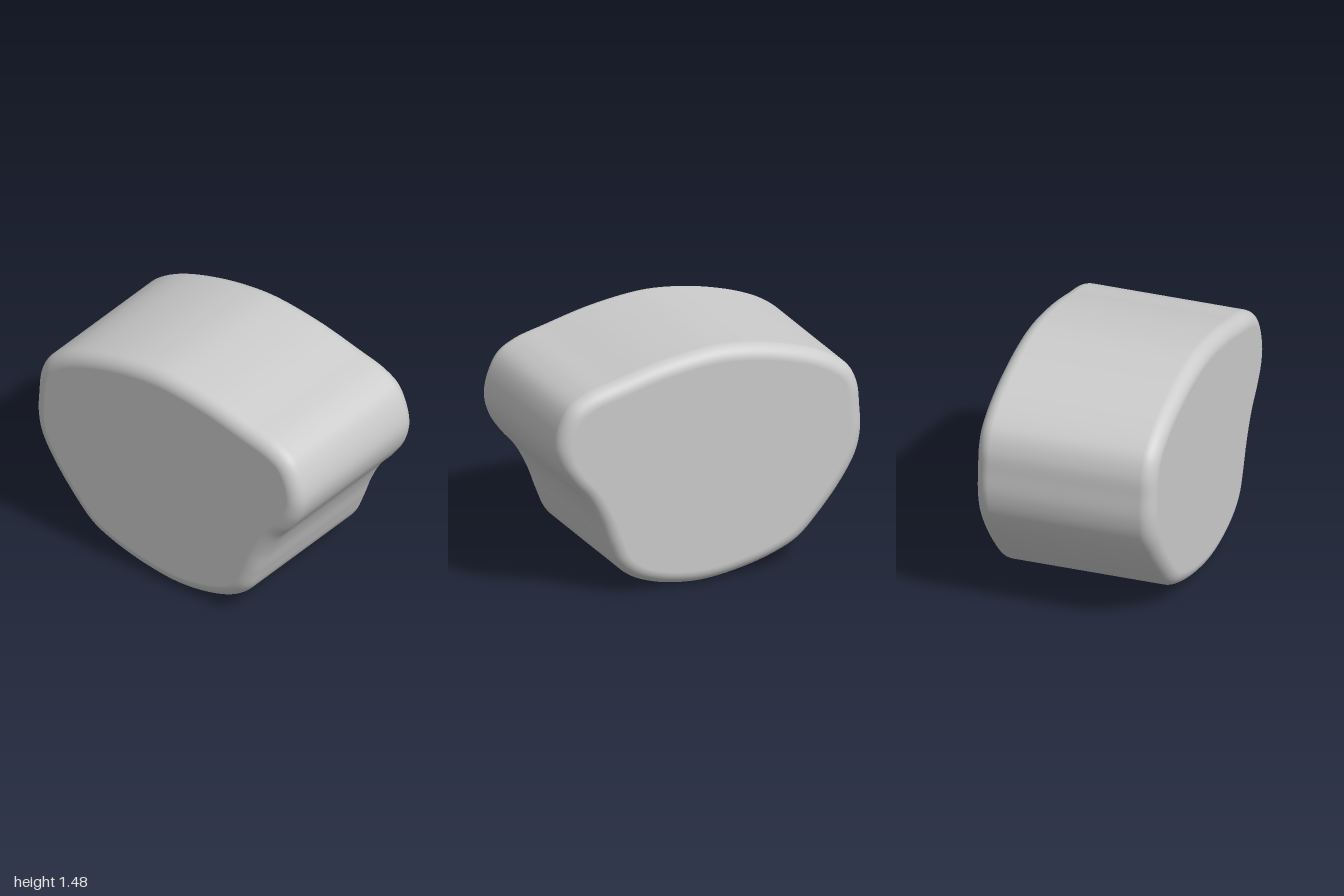
import * as THREE from 'three';

const HALF_DEPTH = 0.565;
const BEVEL = 0.09;
const SEGMENTS = 240;
const BEVEL_STEPS = 10;

// Clockwise outline of the pebble, seen from the front
const OUTLINE = [
  [-0.03, 1.48], [0.3, 1.44], [0.6, 1.367], [0.8, 1.31], [0.91, 1.24], [0.975, 1.12],
  [1, 0.98], [0.97, 0.86], [0.9, 0.75], [0.8, 0.63], [0.72, 0.48], [0.66, 0.32],
  [0.6, 0.19], [0.5, 0.1], [0.33, 0.033], [0.08, 0], [-0.17, 0.025], [-0.42, 0.09],
  [-0.58, 0.165], [-0.72, 0.3], [-0.88, 0.5], [-0.97, 0.66], [-1, 0.8], [-0.995, 0.95],
  [-0.98, 1.09], [-0.93, 1.2], [-0.83, 1.285], [-0.68, 1.36], [-0.45, 1.43], [-0.24, 1.468],
];

// Edge profile from front face to back face: quarter-round, straight wall, quarter-round
function edgeProfile() {
  const profile = [];
  for (const side of [1, -1]) {
    for (let k = 0; k <= BEVEL_STEPS; k++) {
      const step = side > 0 ? k : BEVEL_STEPS - k;
      const angle = (step / BEVEL_STEPS) * Math.PI / 2;
      const out = Math.sin(angle), z = side * Math.cos(angle);
      profile.push({ inset: BEVEL * (1 - out), z: side * (HALF_DEPTH - BEVEL) + BEVEL * z, out, nz: z });
    }
  }
  return profile;
}

function pebbleGeometry() {
  const curve = new THREE.CatmullRomCurve3(
    OUTLINE.map(([x, y]) => new THREE.Vector3(x, y, 0)), true, 'centripetal');
  const positions = [], normals = [], indices = [];
  const profile = edgeProfile();

  // Rings of the outline, drawn inwards along its normal at the bevels
  for (const { inset, z, out, nz } of profile) {
    for (let i = 0; i < SEGMENTS; i++) {
      const p = curve.getPointAt(i / SEGMENTS);
      const t = curve.getTangentAt(i / SEGMENTS);
      positions.push(p.x + t.y * inset, p.y - t.x * inset, z);
      normals.push(-t.y * out, t.x * out, nz);
    }
  }

  // Wall between neighbouring rings
  for (let j = 0; j < profile.length - 1; j++) {
    for (let i = 0; i < SEGMENTS; i++) {
      const next = (i + 1) % SEGMENTS;
      const a = j * SEGMENTS + i, b = j * SEGMENTS + next;
      indices.push(a, b, a + SEGMENTS, b, b + SEGMENTS, a + SEGMENTS);
    }
  }

  // Flat front and back faces, fanned from a centre point
  const front = positions.length / 3, back = front + 1;
  positions.push(-0.05, 0.75, HALF_DEPTH, -0.05, 0.75, -HALF_DEPTH);
  normals.push(0, 0, 1, 0, 0, -1);
  const last = (profile.length - 1) * SEGMENTS;
  for (let i = 0; i < SEGMENTS; i++) {
    const next = (i + 1) % SEGMENTS;
    indices.push(front, next, i, back, last + i, last + next);
  }

  const geometry = new THREE.BufferGeometry();
  geometry.setAttribute('position', new THREE.Float32BufferAttribute(positions, 3));
  geometry.setAttribute('normal', new THREE.Float32BufferAttribute(normals, 3));
  geometry.setIndex(indices);
  return geometry;
}

export function createModel() {
  const model = new THREE.Group();
  model.name = 'roundedPebble';
  const body = new THREE.Mesh(pebbleGeometry(), new THREE.MeshStandardMaterial({ color: 0xcccccc }));
  body.name = 'pebbleBody';
  model.add(body);
  return model;
}
